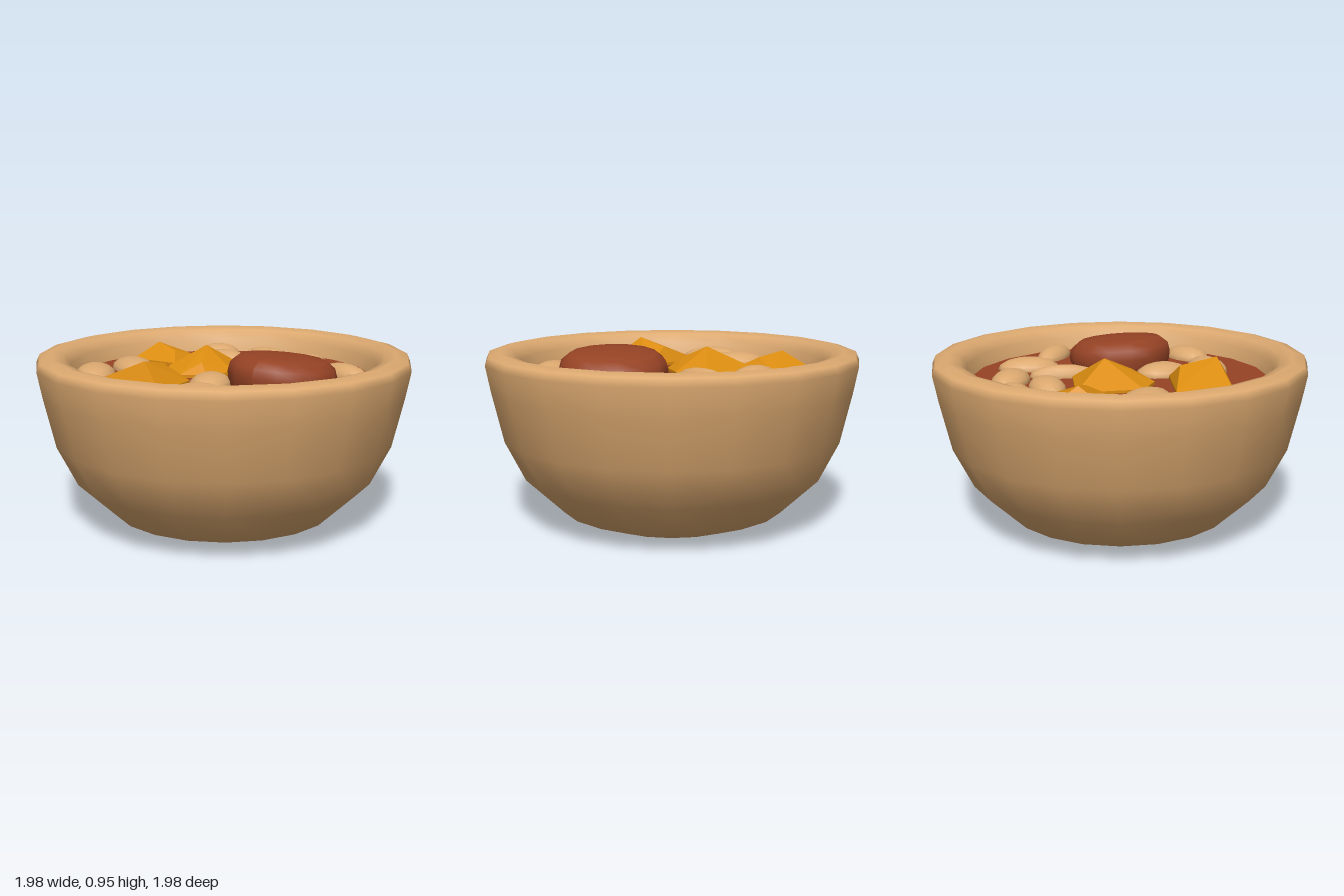
import * as THREE from 'three';
import { ConvexGeometry } from 'three/addons/geometries/ConvexGeometry.js';

const SIDES = 20;
const BROTH_Y = 0.8;

function lathe(points, sides) {
  return new THREE.LatheGeometry(points.map(([r, y]) => new THREE.Vector2(r, y)), sides);
}

export function createModel() {
  const group = new THREE.Group();
  const material = (name, color) => Object.assign(new THREE.MeshStandardMaterial({ color }), { name });
  const clay = material('tan clay', 0xdca970);
  const stew = material('red stew', 0x964325);
  const gold = material('golden chunk', 0xdb8c10);
  const add = (name, geometry, mat) => {
    const mesh = new THREE.Mesh(geometry, mat);
    mesh.name = name;
    group.add(mesh);
    return mesh;
  };

  // Bowl: flat foot, rounded wall, thick lip and inner wall
  add('bowl', lathe([
    [0, 0.01], [0.41, 0.01], [0.6, 0.08], [0.8, 0.27], [0.905, 0.48], [0.965, 0.74],
    [0.992, 0.88], [0.975, 0.92], [0.91, 0.936], [0.85, 0.92], [0.81, 0.87], [0.785, 0.76],
  ], SIDES), clay);

  // Broth surface
  const broth = add('broth', new THREE.CircleGeometry(0.8, SIDES).rotateX(-Math.PI / 2), stew);
  broth.position.y = BROTH_Y;

  // Large round meat piece, its top sloping up toward the front left
  const meat = lathe([
    [0.25, -0.06], [0.275, 0], [0.283, 0.05], [0.27, 0.1], [0.225, 0.137], [0.12, 0.148], [0, 0.15],
  ], 14);
  const p = meat.attributes.position;
  for (let i = 0; i < p.count; i++) {
    if (p.getY(i) > 0.04) p.setY(i, p.getY(i) - 0.05 * p.getX(i) + 0.07 * p.getZ(i));
  }
  meat.computeVertexNormals();
  add('meat', meat, stew).position.set(0.37, BROTH_Y, 0);

  // Beans: x, z, half length, half width, turn in degrees
  const beans = [
    [-0.41, -0.53, 0.13, 0.1, 25], [-0.1, -0.57, 0.16, 0.1, -8], [-0.26, -0.37, 0.155, 0.095, 15],
    [0.02, -0.3, 0.185, 0.055, -82], [0.21, -0.5, 0.17, 0.1, -85], [0.52, -0.38, 0.17, 0.08, -18],
    [0.7, -0.12, 0.11, 0.065, -65], [0.71, 0.14, 0.115, 0.065, 85], [0.51, 0.39, 0.155, 0.1, 35],
    [0.2, 0.48, 0.175, 0.1, 15], [0.08, 0.23, 0.15, 0.11, -65], [-0.52, 0.12, 0.185, 0.11, -30],
    [-0.57, 0.38, 0.18, 0.11, -48],
  ];
  const beanShape = new THREE.SphereGeometry(1, 14, 8);
  for (const [x, z, length, width, turn] of beans) {
    const bean = add('bean', beanShape, clay);
    bean.position.set(x, BROTH_Y, z);
    bean.scale.set(length, 0.065, width);
    bean.rotation.y = THREE.MathUtils.degToRad(turn);
  }

  // Wedge-shaped chunks: outline corners [x, z] on the broth, then ridge points [x, y, z]
  const chunks = [
    { base: [[-0.68, -0.34], [-0.41, -0.34], [-0.39, -0.08], [-0.68, -0.07]],
      ridge: [[-0.6, 0.9, -0.2], [-0.46, 0.87, -0.17]] },
    { base: [[-0.4, -0.22], [-0.04, -0.25], [0.02, -0.06], [-0.04, 0.1], [-0.16, 0.18], [-0.33, 0.12]],
      ridge: [[-0.17, 0.94, -0.08], [-0.1, 0.87, 0.06]] },
    { base: [[-0.38, 0.28], [-0.03, 0.26], [0.02, 0.57], [-0.42, 0.57]],
      ridge: [[-0.16, 0.9, 0.31], [-0.13, 0.94, 0.5]] },
  ];
  for (const { base, ridge } of chunks) {
    const points = [
      ...base.map(([x, z]) => new THREE.Vector3(x, BROTH_Y - 0.03, z)),
      ...base.map(([x, z]) => new THREE.Vector3(x, BROTH_Y + 0.015, z)),
      ...ridge.map((v) => new THREE.Vector3(...v)),
    ];
    add('goldenChunk', new ConvexGeometry(points), gold);
  }

  return group;
}
